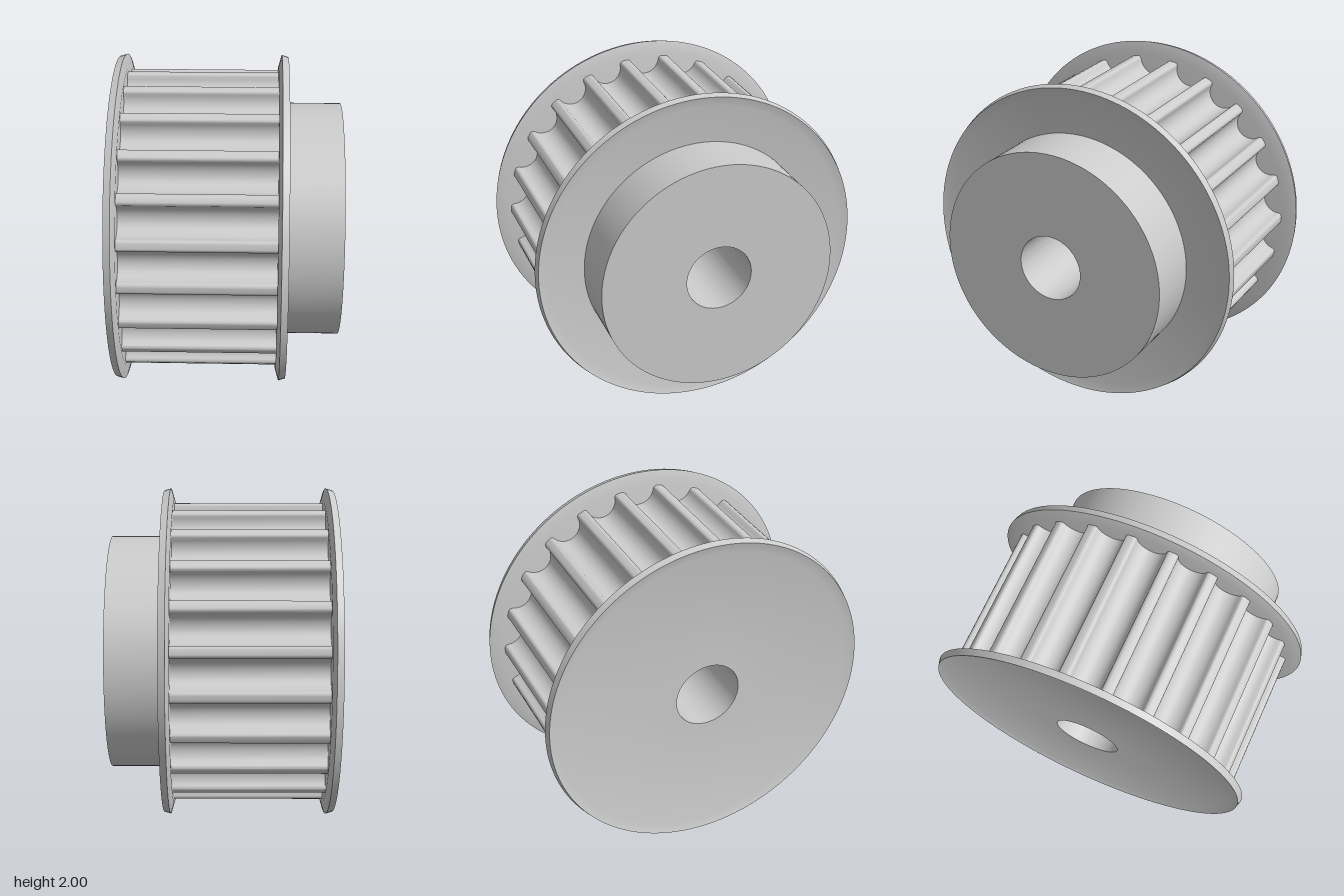
import * as THREE from 'three';
import { toCreasedNormals } from 'three/addons/utils/BufferGeometryUtils.js';

const BORE = 0.2;
const TEETH = 22;
const material = new THREE.MeshStandardMaterial({ color: 0xcccccc });

function addMesh(group, name, geometry) {
  const mesh = new THREE.Mesh(toCreasedNormals(geometry, 0.5), material);
  mesh.name = name;
  mesh.position.y = 1;
  group.add(mesh);
}

// Revolve [x, radius] pairs around the x axis (outer side first, x ascending)
function revolve(profile) {
  const points = profile.map(([x, r]) => new THREE.Vector2(r, x));
  return new THREE.LatheGeometry(points, 128).rotateZ(-Math.PI / 2);
}

// Toothed outline: narrow rounded lands between deep round-bottomed grooves
function toothedShape() {
  const tip = 0.91, fillet = 0.022, land = 0.014, floor = 0.8;
  const pitch = (Math.PI * 2) / TEETH;
  const half = (pitch / 2) * tip;
  const shoulder = tip - fillet;
  const grooveHalf = half - land - fillet;
  const side = []; // [arc offset from tooth centre, radius]
  for (let i = 0; i <= 5; i++) {
    const t = (i / 5) * Math.PI / 2;
    side.push([land + fillet * Math.sin(t), shoulder + fillet * Math.cos(t)]);
  }
  for (let i = 1; i <= 10; i++) {
    const t = (i / 10) * Math.PI / 2;
    side.push([half - grooveHalf * Math.cos(t), shoulder - (shoulder - floor) * Math.sin(t)]);
  }
  const mirrored = side.slice(0, -1).reverse().map(([s, r]) => [-s, r]);
  const tooth = [...mirrored, ...side];
  const points = [];
  for (let k = 0; k < TEETH; k++) {
    for (const [s, r] of tooth) {
      const a = k * pitch + s / tip;
      points.push(new THREE.Vector2(r * Math.cos(a), r * Math.sin(a)));
    }
  }
  const shape = new THREE.Shape(points);
  shape.holes.push(new THREE.Path().absarc(0, 0, BORE, 0, Math.PI * 2, true));
  return shape;
}

export function createModel() {
  const group = new THREE.Group();
  group.name = 'timingPulley';

  // Toothed body between the flanges
  const body = new THREE.ExtrudeGeometry(toothedShape(), {
    depth: 0.9, bevelEnabled: false, curveSegments: 64,
  });
  body.rotateY(Math.PI / 2).translate(-0.61, 0, 0);
  addMesh(group, 'toothedBody', body);

  // Dished flanges, rims bent away from the teeth
  addMesh(group, 'rightFlange', revolve([
    [0.29, BORE], [0.29, 0.93], [0.31, 1], [0.35, 0.988], [0.333, 0.93], [0.333, BORE], [0.29, BORE],
  ]));
  addMesh(group, 'leftFlange', revolve([
    [-0.653, BORE], [-0.653, 0.93], [-0.67, 0.988], [-0.63, 1], [-0.61, 0.93], [-0.61, BORE], [-0.653, BORE],
  ]));

  // Plain hub with through bore
  addMesh(group, 'hub', revolve([
    [0.333, BORE], [0.333, 0.71], [0.67, 0.71], [0.67, BORE], [0.333, BORE],
  ]));

  return group;
}
